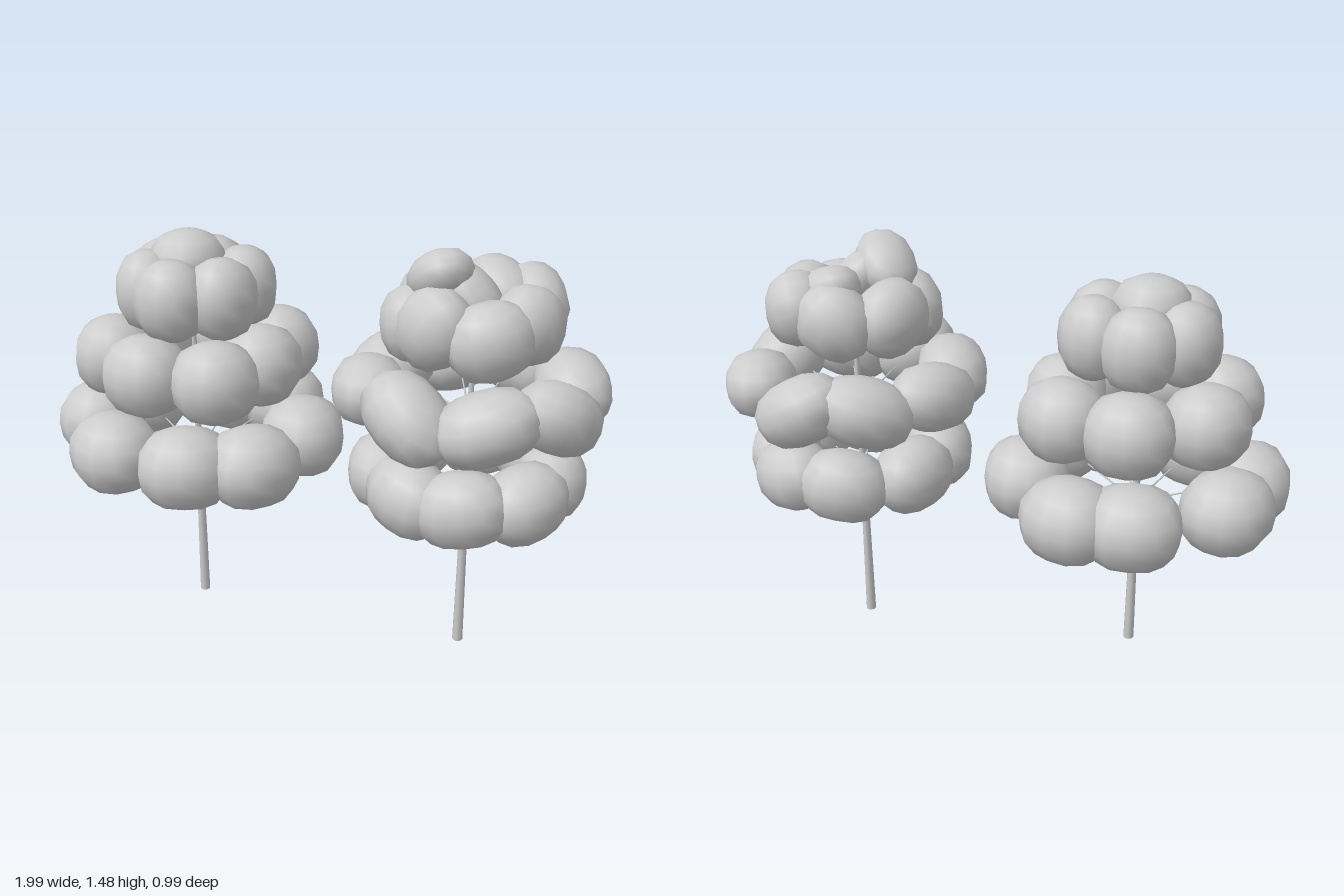
import * as THREE from 'three';

const material = new THREE.MeshStandardMaterial({ color: 0xcccccc });

// Coarse smooth-shaded lump: a unit sphere with slightly squared-off sides.
function lumpGeometry() {
  const g = new THREE.SphereGeometry(1, 12, 8);
  const p = g.attributes.position, n = g.attributes.normal;
  const v = new THREE.Vector3();
  for (let i = 0; i < p.count; i++) {
    v.fromBufferAttribute(p, i);
    const k = Math.pow(Math.abs(v.x) ** 2.4 + Math.abs(v.y) ** 2.4 + Math.abs(v.z) ** 2.4, -1 / 2.4);
    p.setXYZ(i, v.x * k, v.y * k, v.z * k);
    n.setXYZ(i, v.x, v.y, v.z);
  }
  return g;
}
const lump = lumpGeometry();

// Thin tapered rod between two points.
function rod(name, a, b, r0, r1, sides) {
  const d = b.clone().sub(a);
  const m = new THREE.Mesh(new THREE.CylinderGeometry(r1, r0, d.length(), sides), material);
  m.position.copy(a).addScaledVector(d, 0.5);
  m.quaternion.setFromUnitVectors(new THREE.Vector3(0, 1, 0), d.normalize());
  m.name = name;
  return m;
}

// Each tier: centre height, lump half sizes [tangent, height, radial], branch
// root height, and lumps as [x, z, roll, lift, pitch].
function buildTree(name, cx, cz, trunkTop, tiers) {
  const tree = new THREE.Group();
  tree.name = name;
  tree.add(rod('trunk', new THREE.Vector3(cx, 0, cz), new THREE.Vector3(cx, trunkTop, cz), 0.019, 0.007, 8));
  for (const t of tiers) {
    const tier = new THREE.Group();
    tier.name = t.name;
    t.lumps.forEach(([x, z, roll = 0, lift = 0, pitch = 0]) => {
      const m = new THREE.Mesh(lump, material);
      m.name = 'foliageLump';
      m.position.set(x, t.y + lift, z);
      m.scale.set(...t.size);
      m.rotation.set(pitch, Math.atan2(x - cx, z - cz), roll, 'YXZ');
      tier.add(m);
      if (t.root) {
        tier.add(rod('branch', new THREE.Vector3(cx, t.root, cz), m.position, 0.004, 0.002, 5));
      }
    });
    tree.add(tier);
  }
  return tree;
}

export function createModel() {
  const model = new THREE.Group();
  model.name = 'treePair';

  // Wide tree with level lumps and a domed crown
  model.add(buildTree('wideTree', -0.47, 0.03, 1.25, [
    {
      name: 'lowerTier', y: 0.68, size: [0.165, 0.14, 0.15], root: 0.58,
      lumps: [[-0.85, 0.06], [-0.66, 0.31], [-0.37, 0.34], [-0.16, 0.25], [-0.09, -0.05],
        [-0.28, -0.33], [-0.49, -0.34], [-0.79, -0.17]],
    },
    {
      name: 'middleTier', y: 0.97, size: [0.15, 0.14, 0.14], root: 0.87,
      lumps: [[-0.54, 0.27], [-0.29, 0.25], [-0.21, 0.04], [-0.23, -0.18], [-0.46, -0.26],
        [-0.7, -0.14], [-0.74, 0.12]],
    },
    {
      name: 'upperTier', y: 1.22, size: [0.125, 0.14, 0.115], root: 1.12,
      lumps: [[-0.47, 0.19], [-0.32, 0.11], [-0.31, -0.06], [-0.47, -0.15], [-0.61, -0.06], [-0.6, 0.1]],
    },
    { name: 'cap', y: 1.31, size: [0.13, 0.11, 0.13], lumps: [[-0.49, 0.01]] },
  ]));

  // Narrower tree with tilted lumps and an uneven crown
  model.add(buildTree('tiltedTree', 0.54, 0.03, 1.25, [
    {
      name: 'lowerTier', y: 0.68, size: [0.155, 0.125, 0.12], root: 0.58,
      lumps: [[0.27, 0.12, 0.1], [0.41, 0.28, -0.2], [0.59, 0.31, 0.15], [0.77, 0.2, 0.2],
        [0.82, 0, -0.15], [0.72, -0.19, 0.2], [0.52, -0.24, -0.15], [0.31, -0.11, 0.15]],
    },
    {
      name: 'middleTier', y: 0.98, size: [0.17, 0.115, 0.125], root: 0.88,
      lumps: [[0.22, 0.14, 0.15], [0.41, 0.33, -0.6], [0.66, 0.32, 0.3], [0.85, 0.17, -0.5],
        [0.85, -0.1, 0.15], [0.63, -0.3, 0.5], [0.42, -0.27, -0.3], [0.23, -0.1, -0.2]],
    },
    {
      name: 'upperTier', y: 1.22, size: [0.14, 0.125, 0.11], root: 1.12,
      lumps: [[0.36, 0.12, 0.3], [0.45, 0.2, 0.9, 0.02], [0.63, 0.21, 0.25], [0.72, 0.07, -0.5, 0.02],
        [0.7, -0.08, 0.6, 0.04], [0.55, -0.14, -0.5, 0.02], [0.38, -0.06, 0.4, 0.02]],
    },
    {
      name: 'crown', y: 1.33, size: [0.13, 0.08, 0.1],
      lumps: [[0.44, 0.11, 0.6, 0.05], [0.6, -0.05, 0.4, -0.01], [0.54, 0.1, -0.8, -0.01]],
    },
  ]));
  return model;
}
